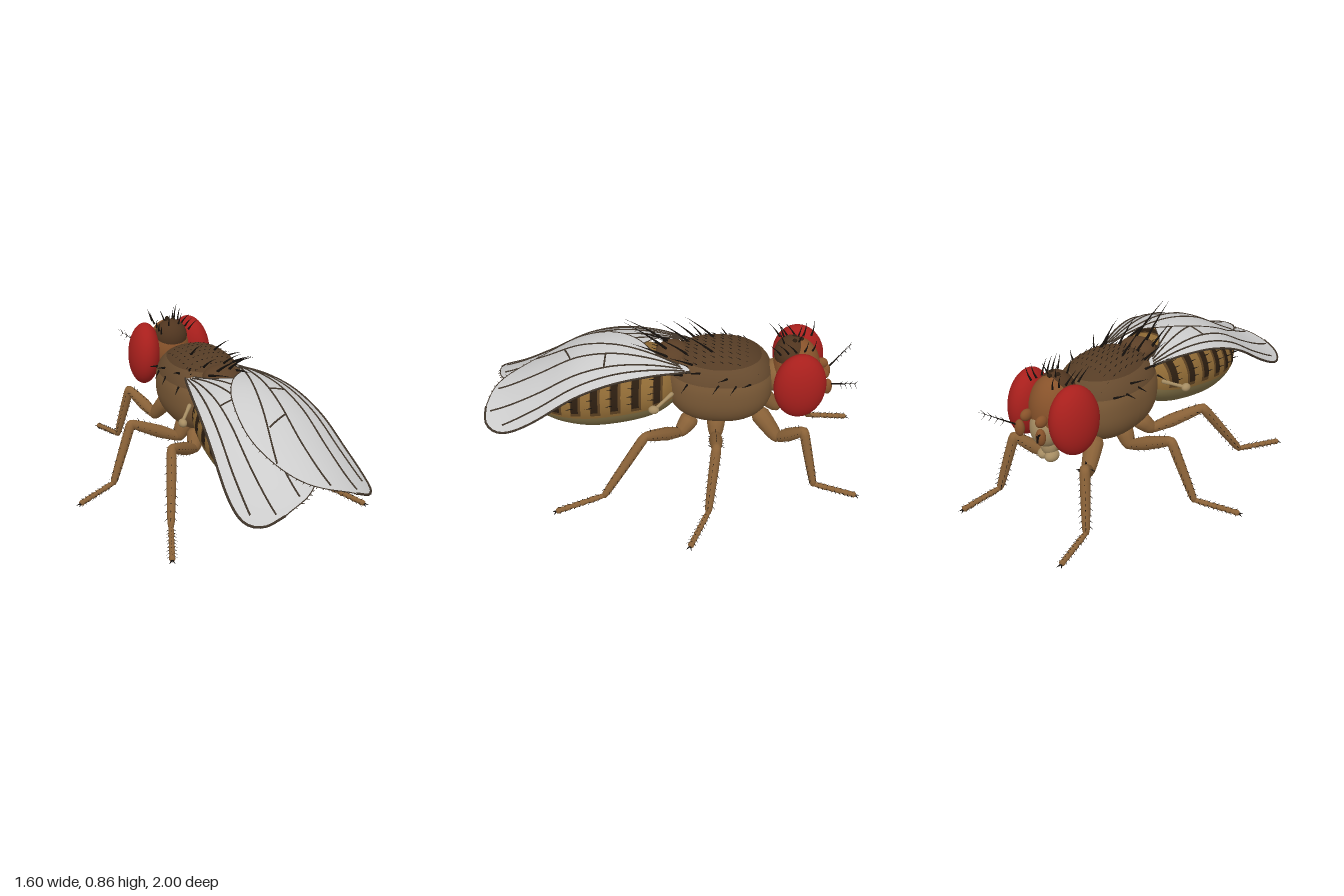
import * as THREE from 'three';
import { mergeGeometries } from 'three/addons/utils/BufferGeometryUtils.js';

const V = (x, y, z) => new THREE.Vector3(x, y, z);
const mat = (color, side = THREE.FrontSide) => new THREE.MeshStandardMaterial({ color, side });
const legMat = mat(0x8a6238), tan = mat(0xa58c62), dark = mat(0x15100c), vein = mat(0x40352a);
const amber = mat(0x8f6a35), olive = mat(0x857448), band = mat(0x2b1d10), bandEdge = mat(0x5c4121);
const UP = V(0, 1, 0);

function add(parent, name, geo, material) {
  const m = new THREE.Mesh(geo, material);
  m.name = name;
  parent.add(m);
  return m;
}

function ball(parent, name, c, r, material, rot = [0, 0, 0]) {
  const m = add(parent, name, new THREE.SphereGeometry(1, 32, 24), material);
  m.position.set(...c);
  m.scale.set(...r);
  m.rotation.set(...rot);
  return m;
}

// stand a geometry built along +y on point a, pointing along d
function aim(geo, a, d) {
  geo.applyQuaternion(new THREE.Quaternion().setFromUnitVectors(UP, d.clone().normalize()));
  return geo.translate(a.x, a.y, a.z);
}

// tapering hair, bending towards the tail
function hair(a, d, len, r = 0.004, bend = 0) {
  const g = aim(new THREE.ConeGeometry(r, len, 5, bend ? 5 : 1).translate(0, len / 2, 0), a, d);
  const p = g.attributes.position;
  for (let i = 0; bend && i < p.count; i++) {
    const k = V(p.getX(i), p.getY(i), p.getZ(i)).distanceTo(a) / len;
    p.setZ(i, p.getZ(i) + bend * k * k);
  }
  return g;
}

// limb segment with rounded ends, r0 at a, rm in the middle, r1 at b
function segment(a, b, r0, rm, r1) {
  const d = b.clone().sub(a), L = d.length();
  const pts = [[0, -r0 * 0.6], [r0 * 0.8, -r0 * 0.3], [r0, L * 0.06], [rm, L * 0.4], [(rm + r1) / 2, L * 0.75],
    [r1, L * 0.95], [r1 * 0.7, L + r1 * 0.4], [0, L + r1 * 0.6]].map(p => new THREE.Vector2(...p));
  return aim(new THREE.LatheGeometry(pts, 12), a, d);
}

// grid surface from f(u, v)
function surface(f, nu, nv) {
  const pos = [], idx = [];
  for (let j = 0; j <= nv; j++) for (let i = 0; i <= nu; i++) pos.push(...f(i / nu, j / nv).toArray());
  for (let j = 0; j < nv; j++) for (let i = 0; i < nu; i++) {
    const a = j * (nu + 1) + i, b = a + nu + 1;
    idx.push(a, b, a + 1, b, b + 1, a + 1);
  }
  const g = new THREE.BufferGeometry();
  g.setAttribute('position', new THREE.Float32BufferAttribute(pos, 3));
  g.setIndex(idx);
  g.computeVertexNormals();
  return g;
}

// thorax: a slightly boxy ellipsoid
const T = { y: 0.505, z: -0.24, rx: 0.22, ry: 0.22, rz: 0.285, p: 2.4 };
function thoraxTop(x, z) {
  const k = 1 - Math.abs(x / T.rx) ** T.p - Math.abs((z - T.z) / T.rz) ** T.p;
  return V(x, T.y + T.ry * Math.max(k, 0) ** (1 / T.p) - 0.004, z);
}
function buildThorax(root) {
  const g = new THREE.Group();
  g.name = 'thorax';
  root.add(g);
  [[0, 0.8, 0x553c25], [0.8, 0.4, 0x664a2e], [1.2, Math.PI - 1.2, 0x7a5936]].forEach(([t0, len, color]) => {
    const geo = new THREE.SphereGeometry(1, 48, 24, 0, Math.PI * 2, t0, len), p = geo.attributes.position;
    for (let i = 0; i < p.count; i++) {
      const v = V(p.getX(i), p.getY(i), p.getZ(i));
      const n = (Math.abs(v.x) ** T.p + Math.abs(v.y) ** T.p + Math.abs(v.z) ** T.p) ** (1 / T.p);
      p.setXYZ(i, v.x / n * T.rx, v.y / n * T.ry + T.y, v.z / n * T.rz + T.z);
    }
    geo.computeVertexNormals();
    add(g, 'thoraxShell', geo, mat(color));
  });
  ball(g, 'scutellum', [0, 0.655, 0.01], [0.1, 0.055, 0.09], mat(0x5c4027));
  // rows of short hairs, then the long bristles: x, z, direction, length
  const hairs = [];
  for (let x = -0.135; x < 0.14; x += 0.03) for (let z = -0.44; z < -0.04; z += 0.045)
    hairs.push(hair(thoraxTop(x, z), V(0, 0.6, 1), 0.03, 0.003));
  const long = [[0.07, -0.2, 0.1, 0.8, 0.8, 0.16], [0.06, -0.07, 0.1, 0.8, 0.9, 0.17], [0.13, -0.1, 0.4, 0.6, 0.8, 0.13],
    [0.17, -0.14, 0.8, 0.5, 0.6, 0.1], [0.19, -0.28, 1, 0.4, 0.4, 0.08], [0.18, -0.4, 1, 0.4, 0.4, 0.08], [0.15, -0.05, 0.6, 0.4, 0.8, 0.1]];
  for (const s of [1, -1]) {
    for (const [x, z, dx, dy, dz, l] of long) hairs.push(hair(thoraxTop(s * x, z), V(s * dx, dy, dz), l, 0.007, l * 0.25));
    for (const z of [-0.08, -0.24, -0.33]) hairs.push(hair(V(s * 0.205, 0.6, z), V(s * 0.6, -0.5, 0.5), 0.06, 0.006));
    hairs.push(hair(V(s * 0.035, 0.7, 0.04), V(-s * 0.1, 0.75, 0.9), 0.23, 0.008, 0.05));
    hairs.push(hair(V(s * 0.08, 0.68, 0.03), V(-s * 0.15, 0.4, 1), 0.17, 0.008, 0.04));
    // halteres
    add(g, 'haltereStalk', segment(V(s * 0.18, 0.52, 0), V(s * 0.26, 0.48, 0.08), 0.012, 0.009, 0.009), tan);
    ball(g, 'haltereKnob', [s * 0.265, 0.475, 0.09], [0.022, 0.022, 0.028], tan);
  }
  add(g, 'thoraxBristles', mergeGeometries(hairs), dark);
}

// abdomen sections: z, top, bottom, half width
const A = [[-0.03, 0.56, 0.4, 0.1], [0.05, 0.64, 0.335, 0.185], [0.15, 0.67, 0.285, 0.225], [0.3, 0.68, 0.245, 0.25], [0.45, 0.65, 0.225, 0.25],
  [0.6, 0.575, 0.24, 0.215], [0.72, 0.5, 0.275, 0.15], [0.8, 0.44, 0.31, 0.09], [0.86, 0.375, 0.365, 0.004]];
const aTop = new THREE.CatmullRomCurve3(A.map(([z, t, , w]) => V(w, t, z)), false, 'catmullrom');
const aBot = new THREE.CatmullRomCurve3(A.map(([z, , b, w]) => V(w, b, z)), false, 'catmullrom');
function abdomenAt(t, a, grow = 0) {
  const p = aTop.getPoint(t), q = aBot.getPoint(t);
  return V((p.x + grow) * Math.sin(a), (p.y + q.y) / 2 + ((p.y - q.y) / 2 + grow) * Math.cos(a), p.z);
}
function tAt(z) {
  let i = 0;
  while (i < A.length - 2 && A[i + 1][0] < z) i++;
  return (i + (z - A[i][0]) / (A[i + 1][0] - A[i][0])) / (A.length - 1);
}
function buildAbdomen(root) {
  const g = new THREE.Group();
  g.name = 'abdomen';
  root.add(g);
  const patch = (name, z0, z1, a0, a1, grow, m) => add(g, name, surface((u, v) =>
    abdomenAt(THREE.MathUtils.lerp(tAt(z0), tAt(z1), v), THREE.MathUtils.lerp(a0, a1, u), grow), 40, z1 - z0 > 0.5 ? 48 : 4), m);
  const lim = 1.85, hairs = [];
  patch('abdomenBack', -0.03, 0.86, -lim, lim, 0, amber);
  patch('abdomenBelly', -0.03, 0.86, lim, Math.PI * 2 - lim, 0, olive);
  [0.08, 0.19, 0.295, 0.4, 0.505, 0.61, 0.71].forEach((z, k) => {
    patch('bandEdge', z - 0.03, z + 0.024, -1.75, 1.75, 0.002, bandEdge);
    patch('darkBand', z - 0.017, z + 0.02, -1.65, 1.65, 0.004, band);
    for (let a = -1.5; a <= 1.51; a += 0.2)
      hairs.push(hair(abdomenAt(tAt(z + 0.01), a), V(Math.sin(a) * 0.4, Math.cos(a) * 0.3, 1), 0.045, 0.004));
  });
  add(g, 'abdomenBristles', mergeGeometries(hairs), dark);
}

function buildHead(root) {
  const g = new THREE.Group();
  g.name = 'head';
  root.add(g);
  const brown = mat(0x87522a), hairs = [];
  ball(g, 'neck', [0, 0.54, -0.53], [0.08, 0.09, 0.07], legMat);
  ball(g, 'skull', [0, 0.59, -0.64], [0.12, 0.175, 0.125], brown);
  ball(g, 'crown', [0, 0.68, -0.61], [0.095, 0.095, 0.09], mat(0x50351f));
  ball(g, 'face', [0, 0.51, -0.69], [0.08, 0.11, 0.09], tan);
  ball(g, 'mouthBase', [0, 0.4, -0.68], [0.045, 0.06, 0.045], tan);
  for (const s of [1, -1]) {
    ball(g, 'eye', [s * 0.15, 0.58, -0.655], [0.09, 0.18, 0.137], mat(0xa81f1c), [0, s * 0.2, s * 0.08]);
    ball(g, 'mouthLobe', [s * 0.024, 0.345, -0.69], [0.032, 0.03, 0.042], tan);
    ball(g, 'antennaBase', [s * 0.05, 0.59, -0.775], [0.024, 0.03, 0.035], brown);
    ball(g, 'antenna', [s * 0.07, 0.525, -0.805], [0.026, 0.045, 0.024], brown);
    // feathered antenna hair
    const a = V(s * 0.075, 0.545, -0.815), d = V(s * 0.11, 0.085, -0.13);
    hairs.push(hair(a, d, 0.2, 0.005));
    for (let k = 0.35; k < 0.9; k += 0.17) for (const e of [1, -1])
      hairs.push(hair(a.clone().addScaledVector(d, k), V(s * 0.4, e, -0.6), 0.035, 0.002));
    for (let i = 0; i < 5; i++)
      hairs.push(hair(V(s * (0.07 + 0.004 * i), 0.745 - 0.006 * i, -0.71 + 0.04 * i), V(s * 0.3, 1, i < 2 ? -0.4 : 0.6), 0.085, 0.006, 0.02));
    hairs.push(hair(V(s * 0.025, 0.765, -0.64), V(s * 0.3, 1, -0.3), 0.07, 0.005));
    hairs.push(hair(V(s * 0.03, 0.75, -0.57), V(s * 0.1, 1, 0.4), 0.09, 0.006));
    ball(g, 'simpleEye', [s * 0.022, 0.77, -0.62], [0.012, 0.01, 0.012], band);
  }
  ball(g, 'simpleEye', [0, 0.77, -0.655], [0.012, 0.01, 0.012], band);
  add(g, 'headBristles', mergeGeometries(hairs), dark);
}

// joints: hip, trochanter, knee, ankle, tip
const LEGS = {
  frontLeg: [[0.1, 0.35, -0.46], [0.14, 0.225, -0.56], [0.24, 0.355, -0.69], [0.3, 0.045, -0.76], [0.34, 0.015, -0.98]],
  middleLeg: [[0.1, 0.31, -0.23], [0.14, 0.225, -0.23], [0.42, 0.365, -0.24], [0.55, 0.045, -0.21], [0.77, 0.018, -0.13]],
  hindLeg: [[0.1, 0.3, -0.09], [0.14, 0.235, -0.04], [0.35, 0.365, 0.13], [0.46, 0.045, 0.34], [0.565, 0.018, 0.575]],
};
function buildLeg(root, name, joints, s) {
  const g = new THREE.Group();
  g.name = (s > 0 ? 'left ' : 'right ') + name;
  root.add(g);
  const [hip, tro, knee, ankle, tip] = joints.map(([x, y, z]) => V(s * x, y, z));
  const parts = [segment(hip, tro, 0.05, 0.046, 0.034), segment(tro, knee, 0.028, 0.036, 0.025), segment(knee, ankle, 0.026, 0.025, 0.019)];
  const spines = [], at = k => ankle.clone().lerp(tip, k);
  for (let i = 0, k = 0; i < 5; i++) {
    const len = i ? 0.165 : 0.34;
    parts.push(segment(at(k), at(k + len * 0.93), 0.012, 0.014, 0.016));
    k += len;
  }
  add(g, 'legSegments', mergeGeometries(parts), legMat);
  // spines along the leg, and two claws
  for (const [a, b, n, r] of [[tro, knee, 7, 0.03], [knee, ankle, 9, 0.02], [ankle, tip, 9, 0.01]]) {
    const d = b.clone().sub(a).normalize(), side = d.clone().cross(UP).normalize(), out = side.clone().cross(d);
    for (let i = 1; i <= n; i++) for (const w of [side, side.clone().negate(), out, out.clone().negate()])
      spines.push(hair(a.clone().lerp(b, i / (n + 1)).addScaledVector(w, r * 0.8), w.clone().addScaledVector(d, 0.9), 0.028, 0.0025));
  }
  const f = tip.clone().sub(ankle).normalize(), w = f.clone().cross(UP);
  for (const e of [1, -1]) spines.push(hair(tip, f.clone().addScaledVector(w, e * 0.6).add(V(0, -0.3, 0)), 0.03, 0.006));
  add(g, 'legSpines', mergeGeometries(spines), dark);
}

// wings lie back over the abdomen, arched across and sloping to the tip
const curve2 = pts => new THREE.SplineCurve(pts.map(p => new THREE.Vector2(...p)));
const slope = curve2([0.665, 0.7, 0.705, 0.655, 0.545, 0.45, 0.4].map((y, i) => [i * 0.2 - 0.1, y]));
const inner = curve2([[0.13, -0.08], [0.09, 0.08], [-0.03, 0.2], [-0.12, 0.35], [-0.16, 0.55], [-0.12, 0.73], [-0.04, 0.88], [0.06, 0.96], [0.19, 0.99]]);
const outer = curve2([[0.16, -0.09], [0.21, 0.05], [0.26, 0.22], [0.3, 0.4], [0.335, 0.6], [0.355, 0.78], [0.34, 0.9], [0.28, 0.975], [0.19, 0.99]]);
const VEINS = [[[0.16, -0.06], [0.23, 0.3], [0.28, 0.6], [0.31, 0.88]], [[0.15, -0.05], [0.18, 0.3], [0.205, 0.6], [0.22, 0.96]],
  [[0.14, -0.04], [0.1, 0.3], [0.075, 0.6], [0.085, 0.94]], [[0.13, -0.03], [0.03, 0.3], [-0.05, 0.58], [-0.1, 0.76]],
  [[0.092, 0.35], [0.184, 0.35]], [[-0.045, 0.59], [0.076, 0.54]]];
function buildWing(root, s) {
  const g = new THREE.Group();
  g.name = s > 0 ? 'left wing' : 'right wing';
  root.add(g);
  const at = (x, z, lift = 0) => V(s * x, slope.getPoint(THREE.MathUtils.clamp((z + 0.1) / 1.2, 0, 1)).y - x * x + (s > 0 ? 0.008 : -0.004) + lift, z);
  add(g, 'wingMembrane', surface((u, v) => {
    const p = inner.getPoint(v).lerp(outer.getPoint(v), u);
    return at(p.x, p.y);
  }, 20, 48), mat(0xcccccc, THREE.DoubleSide));
  const tube = (c, r, n) => new THREE.TubeGeometry(new THREE.CatmullRomCurve3(c.getPoints(n).map(p => at(p.x, p.y, 0.001))), 40, r, 6);
  add(g, 'wingVeins', mergeGeometries([tube(outer, 0.006, 32), tube(inner, 0.0025, 32), ...VEINS.map(p => tube(curve2(p), 0.0045, 12))]), vein);
  // fringe hairs on the inner edge
  const fringe = [];
  for (let k = 0.25; k < 0.95; k += 0.03) {
    const p = inner.getPoint(k);
    fringe.push(hair(at(p.x, p.y), V(-s, 0, 0.8), 0.018, 0.003));
  }
  add(g, 'wingFringe', mergeGeometries(fringe), vein);
}

export function createModel() {
  const root = new THREE.Group();
  root.name = 'fruitFly';
  buildThorax(root);
  buildAbdomen(root);
  buildHead(root);
  for (const s of [1, -1]) {
    for (const [name, joints] of Object.entries(LEGS)) buildLeg(root, name, joints, s);
    buildWing(root, s);
  }
  return root;
}
